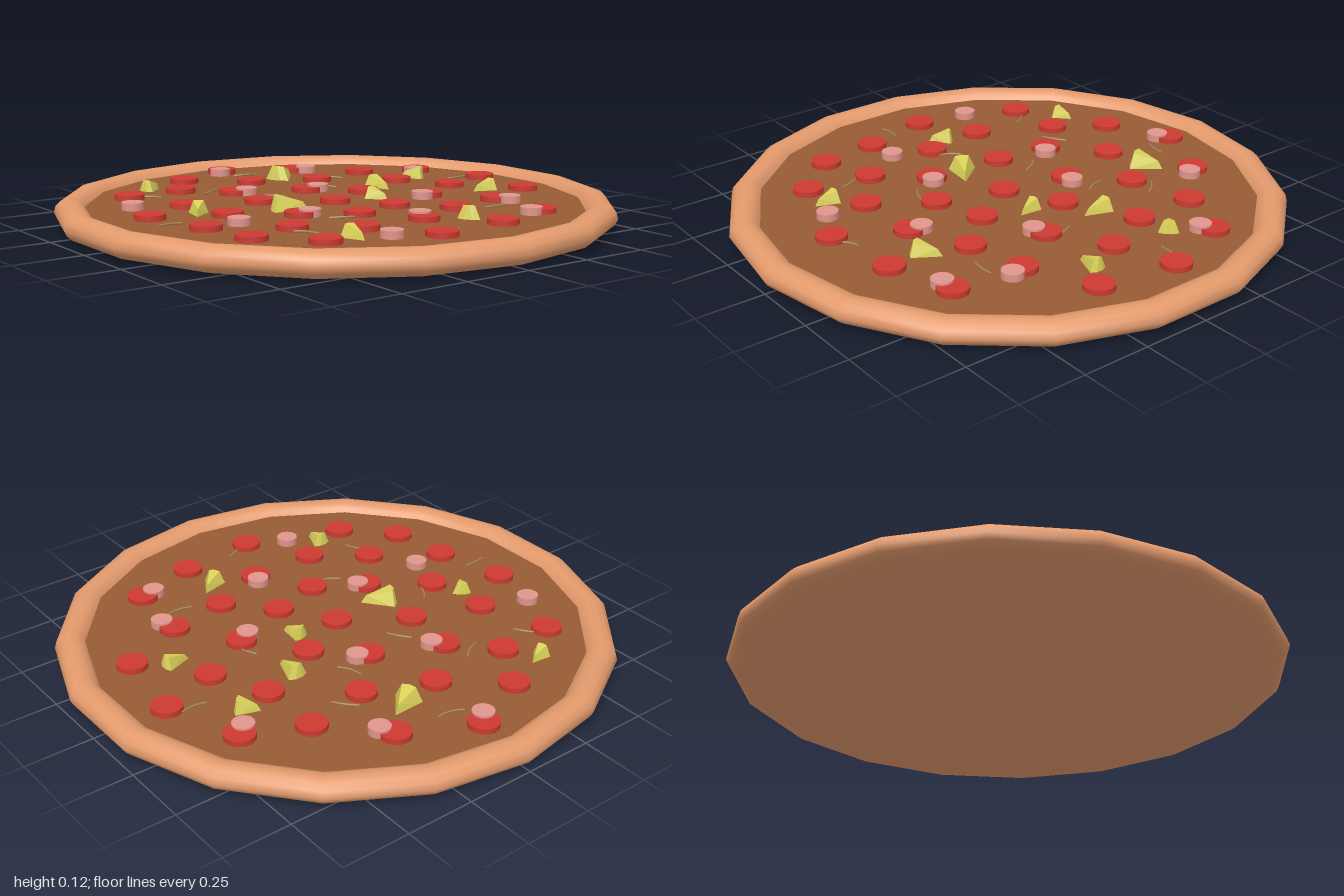
import * as THREE from 'three';
import { ConvexGeometry } from 'three/addons/geometries/ConvexGeometry.js';

const paint = (color, flatShading = false) => new THREE.MeshStandardMaterial({ color, flatShading });
const V = (x, y, z) => new THREE.Vector3(x, y, z);
const SAUCE_Y = 0.07;

// centres of the round slices (x, z)
const SLICES = [
  [0.01, -0.79], [-0.23, -0.68], [0.27, -0.66], [-0.57, -0.49], [-0.35, -0.5], [-0.03, -0.51],
  [0.455, -0.46], [0.21, -0.41], [0.67, -0.365], [-0.21, -0.35], [-0.49, -0.23], [0.04, -0.24],
  [0.455, -0.22], [-0.235, -0.14], [0.195, -0.095], [-0.7, -0.105], [0.77, -0.09], [-0.46, 0.005],
  [-0.01, 0.01], [0.55, -0.015], [0.34, 0.105], [-0.64, 0.16], [-0.26, 0.15], [0.11, 0.2],
  [0.725, 0.205], [-0.085, 0.255], [-0.41, 0.32], [-0.61, 0.385], [0.48, 0.32], [0.255, 0.36],
  [0.035, 0.455], [-0.225, 0.46], [-0.45, 0.56], [0.455, 0.58], [-0.085, 0.69], [0.21, 0.655],
];
const HAM = [
  [-0.02, -0.755], [0.3, -0.615], [-0.66, -0.3], [-0.175, -0.32], [0.085, -0.23], [0.635, -0.335],
  [-0.51, 0.155], [-0.23, 0.165], [0.3, 0.125], [0.05, 0.415], [0.5, 0.375], [-0.23, 0.615], [0.405, 0.585],
];
// thin strips: start (x, z), end (x, z)
const STRIPS = [
  [0.005, -0.69, 0.1, -0.67], [-0.52, -0.48, -0.475, -0.42], [-0.3, -0.41, -0.22, -0.46],
  [0.26, -0.46, 0.32, -0.39], [0.14, -0.32, 0.175, -0.235], [-0.15, -0.24, -0.1, -0.165],
  [0.65, -0.14, 0.745, -0.14], [-0.75, 0.04, -0.66, 0.035], [-0.365, -0.06, -0.41, 0.015],
  [0.345, 0.005, 0.37, 0.06], [-0.21, 0.25, -0.13, 0.285], [-0.435, 0.365, -0.395, 0.45],
  [0.35, 0.415, 0.445, 0.42], [-0.035, 0.68, 0.02, 0.65],
];
// wedges: middle of the wide end (x, z), tip (x, z), width
const WEDGES = [
  [-0.45, -0.595, -0.375, -0.62, 0.065], [0.09, -0.52, 0.2, -0.575, 0.1], [0.315, -0.205, 0.315, -0.09, 0.075],
  [0.595, -0.225, 0.53, -0.285, 0.075], [-0.5, -0.12, -0.55, -0.045, 0.07], [-0.28, 0, -0.165, 0.065, 0.1],
  [0.15, -0.005, 0.175, 0.08, 0.065], [0.645, 0.13, 0.545, 0.13, 0.065], [-0.33, 0.51, -0.33, 0.605, 0.07],
  [0.16, 0.535, 0.25, 0.47, 0.08],
];

// low-poly fruit chunk, tapering to its tip along +x
function wedgeGeometry(length, width) {
  const w = width / 2, h = 0.022 + width * 0.33;
  return new ConvexGeometry([
    V(0.1 * length, 0, -w), V(0, 0, -w * 0.4), V(0, 0, w * 0.4), V(0.1 * length, 0, w), V(length, 0, 0),
    V(0.14 * length, h, -w * 0.5), V(0.08 * length, h, 0), V(0.14 * length, h, w * 0.5),
    V(0.85 * length, h * 0.55, 0),
  ]);
}

export function createModel() {
  const model = new THREE.Group();
  const add = (name, geometry, material, x = 0, y = 0, z = 0, parent = model) => {
    const mesh = new THREE.Mesh(geometry, material);
    mesh.name = name;
    mesh.position.set(x, y, z);
    parent.add(mesh);
    return mesh;
  };
  const group = (name) => {
    const g = new THREE.Group();
    g.name = name;
    model.add(g);
    return g;
  };

  // 18-sided crust with a rounded raised rim and closed underside
  const profile = [
    [0, 0.005], [0.5, 0.003], [0.93, 0.005], [0.97, 0.016], [0.99, 0.032], [1, 0.052],
    [0.993, 0.076], [0.975, 0.093], [0.95, 0.1], [0.925, 0.097], [0.903, 0.086], [0.89, 0.065],
  ].map(([r, y]) => new THREE.Vector2(r, y));
  add('crust', new THREE.LatheGeometry(profile, 18), paint(0xe39a6c));

  // sauce disc
  add('sauce', new THREE.CylinderGeometry(0.893, 0.893, 0.03, 18), paint(0x965c34), 0, SAUCE_Y - 0.015, 0);

  // round toppings
  const discs = (name, places, radius, height, color) => {
    const parent = group(name + 's'), material = paint(color);
    const geometry = new THREE.CylinderGeometry(radius, radius, height, 20);
    places.forEach(([x, z]) => add(name, geometry, material, x, SAUCE_Y + height / 2 - 0.002, z, parent));
  };
  discs('sausageSlice', SLICES, 0.055, 0.022, 0xcc3a33);
  discs('hamSlice', HAM, 0.039, 0.029, 0xe0958c);

  // curved thin strips
  const strips = group('onionStrips'), stripPaint = paint(0xa08555);
  STRIPS.forEach(([x0, z0, x1, z1], i) => {
    const bend = i % 2 ? 0.15 : -0.15;
    const middle = V((x0 + x1) / 2 + (z1 - z0) * bend, SAUCE_Y + 0.008, (z0 + z1) / 2 - (x1 - x0) * bend);
    const curve = new THREE.QuadraticBezierCurve3(V(x0, SAUCE_Y + 0.004, z0), middle, V(x1, SAUCE_Y + 0.004, z1));
    add('onionStrip', new THREE.TubeGeometry(curve, 6, 0.004, 6), stripPaint, 0, 0, 0, strips);
  });

  // fruit wedges
  const wedges = group('fruitWedges'), wedgePaint = paint(0xd8d058, true);
  WEDGES.forEach(([x0, z0, x1, z1, width]) => {
    const geometry = wedgeGeometry(Math.hypot(x1 - x0, z1 - z0), width);
    const wedge = add('fruitWedge', geometry, wedgePaint, x0, SAUCE_Y - 0.001, z0, wedges);
    wedge.rotation.y = Math.atan2(z0 - z1, x1 - x0);
  });

  return model;
}
